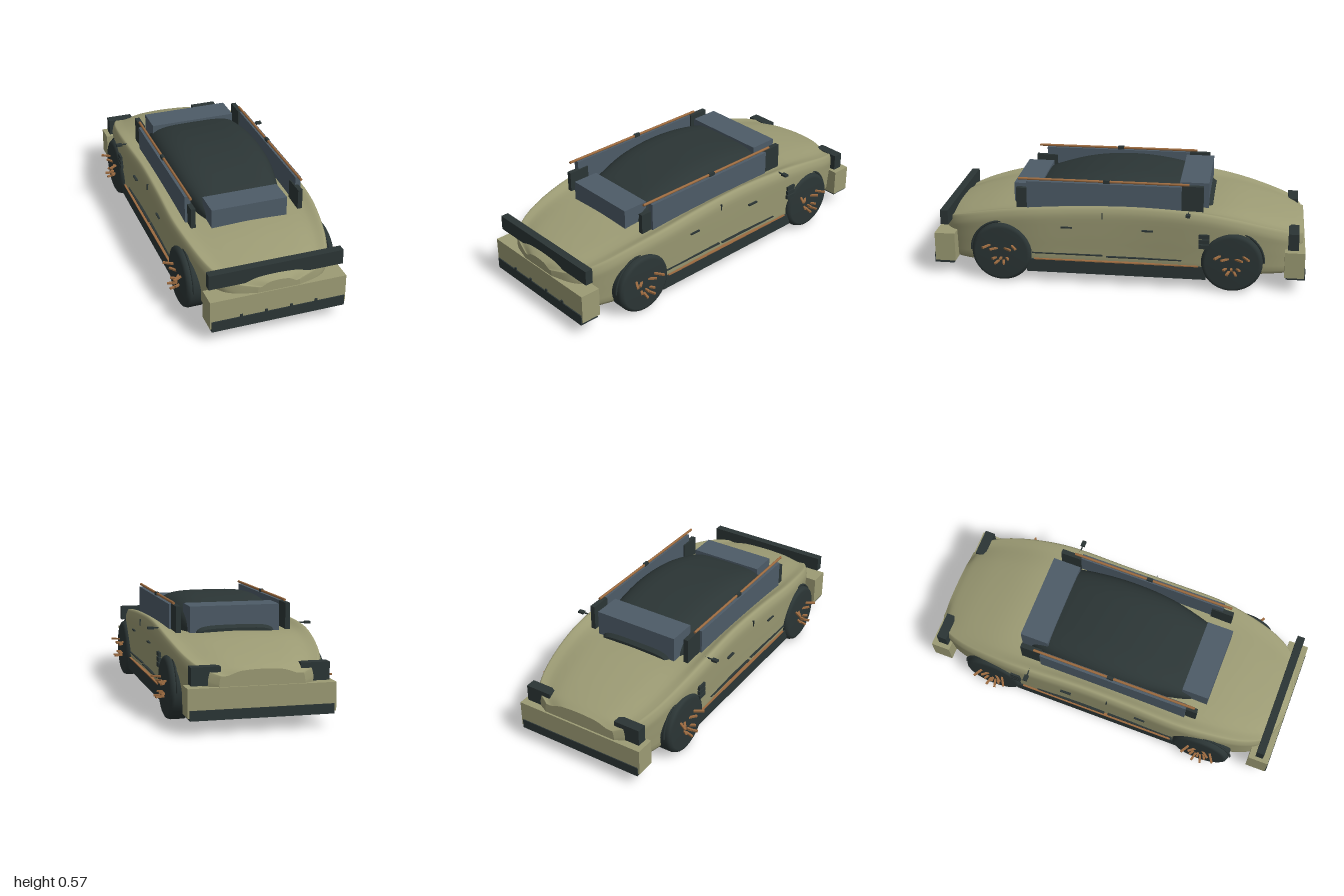
import * as THREE from 'three';

const mat = (name, color) => {
  const m = new THREE.MeshStandardMaterial({ color });
  m.name = name;
  return m;
};

export function createModel() {
  const car = new THREE.Group();
  car.name = 'car';
  const olive = mat('olive paint', 0x9c9b74);
  const dark = mat('dark trim', 0x2b3535);
  const glass = mat('blue grey glass', 0x4d5b67);
  const copper = mat('copper', 0x9c6b40);
  const black = mat('underbody black', 0x1d2325);

  const add = (name, geo, material, x = 0, y = 0, z = 0) => {
    const mesh = new THREE.Mesh(geo, material);
    mesh.name = name;
    mesh.position.set(x, y, z);
    car.add(mesh);
    return mesh;
  };
  // Box given by its limits
  const box = (name, material, x0, x1, y0, y1, z0, z1) =>
    add(name, new THREE.BoxGeometry(Math.abs(x1 - x0), y1 - y0, z1 - z0), material,
      (x0 + x1) / 2, (y0 + y1) / 2, (z0 + z1) / 2);
  // The same box on both sides
  const pair = (name, material, x0, x1, ...rest) => {
    for (const s of [1, -1]) box(name, material, s * x0, s * x1, ...rest);
  };

  // Smooth skin through closed rings ordered from front to back
  const loft = (rings) => {
    const n = rings[0].length, pos = [], idx = [];
    rings.forEach((r) => r.forEach((p) => pos.push(p.x, p.y, p.z)));
    for (let i = 0; i < rings.length - 1; i++) {
      for (let j = 0; j < n; j++) {
        const a = i * n + j, b = i * n + (j + 1) % n, c = b + n, d = a + n;
        idx.push(a, d, c, a, c, b);
      }
    }
    [rings[0], rings[rings.length - 1]].forEach((r, end) => {
      const c = r.reduce((s, p) => s.add(p), new THREE.Vector3()).divideScalar(n);
      const base = pos.length / 3;
      [...r, c].forEach((p) => pos.push(p.x, p.y, p.z));
      for (let j = 0; j < n; j++) {
        const a = base + j, b = base + (j + 1) % n;
        idx.push(base + n, end ? b : a, end ? a : b);
      }
    });
    const g = new THREE.BufferGeometry();
    g.setAttribute('position', new THREE.Float32BufferAttribute(pos, 3));
    g.setIndex(idx);
    g.computeVertexNormals();
    return g;
  };
  // Smooth interpolation between stations of numbers
  const smooth = (stations, steps) => {
    const spline = (k) => new THREE.CatmullRomCurve3(
      stations.map((s) => new THREE.Vector3(s[0], s[k], s[k + 1] ?? 0)), false, 'catmullrom');
    const a = spline(1), b = spline(3);
    return Array.from({ length: steps + 1 }, (_, i) => {
      const p = a.getPoint(i / steps), q = b.getPoint(i / steps);
      return [p.x, p.y, p.z, q.y, q.z];
    });
  };

  // Body: z, half width, bottom, shoulder height, centre height
  const bodyStations = smooth([
    [0.985, 0.11, 0.15, 0.275, 0.295], [0.95, 0.22, 0.10, 0.295, 0.317],
    [0.9, 0.28, 0.08, 0.32, 0.335], [0.8, 0.33, 0.08, 0.352, 0.36],
    [0.65, 0.365, 0.08, 0.388, 0.387], [0.45, 0.388, 0.08, 0.418, 0.402],
    [0.2, 0.385, 0.08, 0.435, 0.405], [-0.1, 0.382, 0.08, 0.442, 0.405],
    [-0.4, 0.39, 0.08, 0.432, 0.415], [-0.6, 0.38, 0.08, 0.402, 0.41],
    [-0.8, 0.348, 0.08, 0.352, 0.37], [-0.93, 0.295, 0.08, 0.312, 0.33],
    [-0.985, 0.21, 0.10, 0.28, 0.305],
  ], 60);
  const bodyRings = bodyStations.map(([z, w, yb, ys, yc]) => {
    const half = [[0.6, yb], [0.94, yb + 0.005], [0.985, yb + (ys - yb) * 0.3],
      [1.01, yb + (ys - yb) * 0.65], [1.02, ys - 0.045], [0.985, ys - 0.005],
      [0.93, ys - 0.004], [0.8, (ys + yc) / 2 - 0.014], [0.5, yc - 0.006]];
    const pts = [[0, yb], ...half, [0, yc], ...half.map(([x, y]) => [-x, y]).reverse()]
      .map(([x, y]) => new THREE.Vector3(x * w, y, z));
    const curve = new THREE.CatmullRomCurve3(pts, true, 'catmullrom', 0.4);
    return Array.from({ length: 60 }, (_, i) => curve.getPoint(i / 60));
  });
  add('body', loft(bodyRings), olive);

  // Canopy: z, half width, top height
  const canopyRings = smooth([
    [0.55, 0.16, 0.41, 0], [0.48, 0.21, 0.455, 0], [0.38, 0.24, 0.502, 0],
    [0.2, 0.275, 0.549, 0], [0, 0.287, 0.567, 0], [-0.2, 0.28, 0.555, 0],
    [-0.38, 0.255, 0.515, 0], [-0.5, 0.2, 0.43, 0],
  ], 32).map(([z, w, top]) => Array.from({ length: 40 }, (_, i) => {
    const a = (i / 40) * Math.PI * 2 - Math.PI / 2;
    const c = Math.cos(a), s = Math.sin(a);
    return new THREE.Vector3(Math.sign(c) * Math.sqrt(Math.abs(c)) * w,
      s > 0 ? 0.38 + (top - 0.38) * Math.sqrt(s) : 0.38 + 0.02 * s, z);
  }));
  add('canopy', loft(canopyRings), dark);

  // Glass blocks, pillars and roof rails
  box('windshield', glass, -0.205, 0.205, 0.37, 0.492, 0.43, 0.575);
  box('rearWindow', glass, -0.238, 0.238, 0.38, 0.545, -0.48, -0.325);
  pair('sideWindow', glass, 0.288, 0.318, 0.39, 0.543, -0.34, 0.485);
  pair('frontPillar', dark, 0.28, 0.305, 0.39, 0.5, 0.425, 0.545);
  pair('rearPillar', dark, 0.28, 0.306, 0.4, 0.545, -0.455, -0.34);
  for (const s of [1, -1]) {
    const rail = add('roofRail', new THREE.CylinderGeometry(0.007, 0.007, 0.91, 10), copper, s * 0.3, 0.552, 0.075);
    rail.rotation.x = Math.PI / 2;
  }
  pair('railClip', dark, 0.293, 0.309, 0.543, 0.561, 0.04, 0.075);

  // Bumpers, front bar and tail blocks
  box('frontBumper', olive, -0.36, 0.36, 0.083, 0.24, 0.88, 0.99);
  box('frontLip', dark, -0.353, 0.353, 0.068, 0.125, 0.89, 0.996);
  for (const x of [-0.198, -0.066, 0.066, 0.198]) {
    box('lipTab', dark, x - 0.007, x + 0.007, 0.12, 0.139, 0.98, 0.996);
  }
  box('frontBar', dark, -0.354, 0.354, 0.29, 0.37, 0.912, 0.954);
  box('rearBumper', olive, -0.37, 0.37, 0.083, 0.225, -0.995, -0.89);
  box('rearLip', dark, -0.36, 0.36, 0.07, 0.12, -1, -0.9);
  pair('tailBlock', dark, 0.2, 0.346, 0.23, 0.32, -0.96, -0.905);

  // Underbody, sills and copper strips
  box('underbody', black, -0.3, 0.3, 0.045, 0.09, -0.7, 0.7);
  box('floor', black, -0.34, 0.34, 0.045, 0.09, -0.46, 0.46);
  pair('sill', dark, 0.33, 0.39, 0.058, 0.128, -0.48, 0.48);
  pair('sillStrip', copper, 0.37, 0.391, 0.128, 0.133, -0.44, 0.44);
  pair('sillGroove', dark, 0.37, 0.389, 0.162, 0.167, 0.07, 0.45);
  pair('sillGroove', dark, 0.37, 0.389, 0.157, 0.162, -0.35, 0.05);

  // Door handles, door seams, vents and mirrors
  for (const z of [0.26, -0.17]) pair('doorHandle', dark, 0.38, 0.4, 0.317, 0.324, z - 0.03, z + 0.03);
  pair('doorSeam', dark, 0.38, 0.397, 0.375, 0.41, 0.067, 0.071);
  for (const y of [0.25, 0.278, 0.306]) pair('sideVent', dark, 0.37, 0.405, y - 0.011, y + 0.011, -0.495, -0.44);
  pair('mirror', dark, 0.408, 0.441, 0.422, 0.434, -0.395, -0.372);
  pair('mirrorArm', dark, 0.37, 0.41, 0.425, 0.431, -0.386, -0.38);

  // Wheels with arch trims and copper spokes
  const tyreProfile = [[0, -0.058], [0.14, -0.058], [0.155, -0.05], [0.162, -0.035],
    [0.162, 0.035], [0.155, 0.05], [0.14, 0.058], [0, 0.058]].map(([r, y]) => new THREE.Vector2(r, y));
  const tyre = new THREE.LatheGeometry(tyreProfile, 48);
  const arch = new THREE.TorusGeometry(0.168, 0.006, 6, 32, Math.PI);
  // Spokes: z offset, height, outer x, turn
  const spokes = [[0.075, 0.205, 0.452, 0.55], [-0.075, 0.205, 0.452, -0.55],
    [0.035, 0.188, 0.43, 0.9], [-0.035, 0.188, 0.43, -0.9], [0, 0.135, 0.43, 0],
    [0.03, 0.135, 0.43, 0.5], [-0.03, 0.135, 0.43, -0.5],
    [0.018, 0.118, 0.452, 0.25], [-0.018, 0.118, 0.452, -0.25]];
  for (const s of [1, -1]) {
    for (const zc of [0.615, -0.615]) {
      add('wheel', tyre, dark, s * 0.347, 0.162, zc).rotation.z = Math.PI / 2;
      add('archTrim', arch, dark, s * 0.372, 0.162, zc).rotation.y = Math.PI / 2;
      for (const [dz, y, xo, turn] of spokes) {
        const spoke = add('spoke', new THREE.BoxGeometry(0.055, 0.009, 0.012), copper,
          s * (xo - 0.0275 * Math.cos(turn)), y, zc + dz);
        spoke.rotation.y = -s * turn;
      }
    }
  }
  return car;
}
